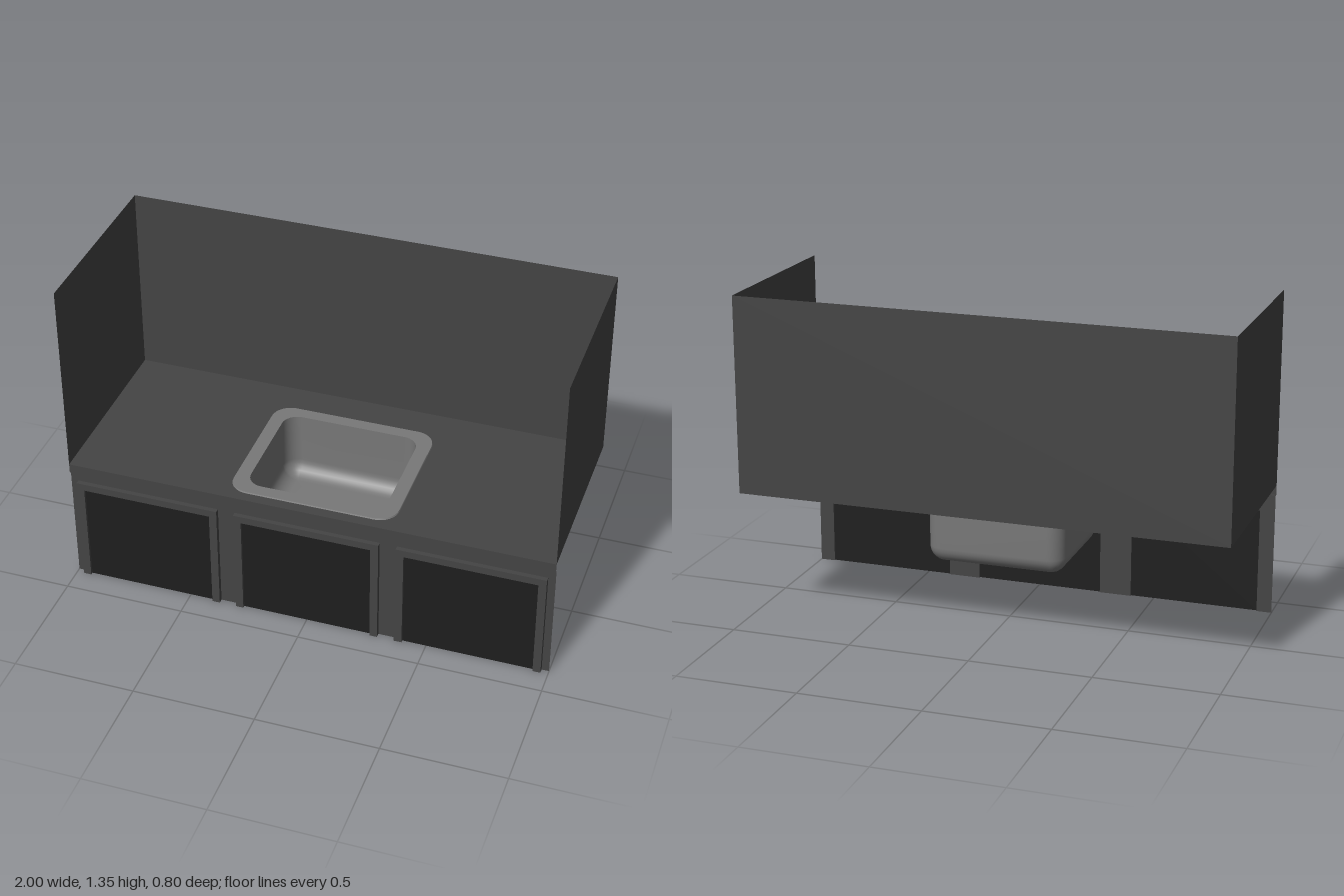
import * as THREE from 'three';

const HALF = 1, BACK = -0.4, LIP = 0.39, FACE = 0.38;
const TOP = 0.545, WALL_TOP = 1.35, LIP_BOTTOM = 0.505;
const SINK_Z = 0.0425;

const material = (color) => new THREE.MeshStandardMaterial({ color, side: THREE.DoubleSide });
const laminate = material(0x444444);
const dark = material(0x1e1e1e);
const steel = material(0x787878);

function add(parent, name, geometry, mat, x = 0, y = 0, z = 0) {
  const mesh = new THREE.Mesh(geometry, mat);
  mesh.name = name;
  mesh.position.set(x, y, z);
  parent.add(mesh);
  return mesh;
}

// Corner points of a rounded rectangle, counter-clockwise
function roundedRect(halfW, halfD, r, steps = 8) {
  const points = [];
  for (let c = 0; c < 4; c++) {
    const sx = c === 0 || c === 3 ? 1 : -1, sy = c < 2 ? 1 : -1;
    for (let i = 0; i <= steps; i++) {
      const a = (c + i / steps) * Math.PI / 2;
      points.push(new THREE.Vector2(
        sx * (halfW - r) + r * Math.cos(a), sy * (halfD - r) + r * Math.sin(a)));
    }
  }
  return points;
}

// Skin through rounded-rectangle sections [halfW, halfD, radius, y]
function loft(sections, closeEnd) {
  const pos = [], index = [];
  let n = 0;
  for (const [w, d, r, y] of sections) {
    const ring = roundedRect(w, d, r);
    n = ring.length;
    for (const p of ring) pos.push(p.x, y, -p.y);
  }
  for (let s = 0; s < sections.length - 1; s++) {
    for (let i = 0; i < n; i++) {
      const a = s * n + i, b = s * n + (i + 1) % n;
      index.push(a, b, a + n, b, b + n, a + n);
    }
  }
  if (closeEnd) {
    const base = (sections.length - 1) * n, centre = pos.length / 3;
    pos.push(0, sections[sections.length - 1][3], 0);
    for (let i = 0; i < n; i++) index.push(base + i, base + (i + 1) % n, centre);
  }
  const g = new THREE.BufferGeometry();
  g.setAttribute('position', new THREE.Float32BufferAttribute(pos, 3));
  g.setIndex(index);
  g.computeVertexNormals();
  return g;
}

// U-shaped outline: two posts and a top rail, open at the bottom
function archShape(halfW, height, post, rail) {
  const i = halfW - post, h = height - rail;
  return new THREE.Shape([[-halfW, 0], [-i, 0], [-i, h], [i, h], [i, 0], [halfW, 0],
    [halfW, height], [-halfW, height]].map(([x, y]) => new THREE.Vector2(x, y)));
}

function createDoor(x) {
  const door = new THREE.Group();
  door.name = 'door';
  door.position.x = x;
  const frame = new THREE.ExtrudeGeometry(archShape(0.3, 0.465, 0.032, 0.03),
    { depth: 0.02, bevelEnabled: false });
  add(door, 'doorFrame', frame, laminate, 0, 0, FACE);
  add(door, 'doorPanel', new THREE.PlaneGeometry(0.536, 0.435), dark, 0, 0.2175, 0.388);
  return door;
}

export function createModel() {
  const model = new THREE.Group();
  model.name = 'sinkUnit';

  // Splash walls: thin sheets on three sides
  const wallH = WALL_TOP - TOP, depth = LIP - BACK, midZ = (LIP + BACK) / 2;
  add(model, 'backWall', new THREE.PlaneGeometry(2 * HALF, wallH), laminate,
    0, TOP + wallH / 2, BACK);
  for (const side of [-1, 1]) {
    const wall = add(model, side < 0 ? 'rightWall' : 'leftWall',
      new THREE.PlaneGeometry(depth, wallH), laminate, side * HALF, TOP + wallH / 2, midZ);
    wall.rotation.y = -side * Math.PI / 2;
  }

  // Worktop sheet with the sink opening
  const topShape = new THREE.Shape([[-HALF, -LIP], [HALF, -LIP], [HALF, -BACK], [-HALF, -BACK]]
    .map(([x, y]) => new THREE.Vector2(x, y)));
  topShape.holes.push(new THREE.Path(roundedRect(0.343, 0.302, 0.08)
    .map((p) => new THREE.Vector2(p.x, p.y - SINK_Z))));
  add(model, 'worktop', new THREE.ShapeGeometry(topShape).rotateX(-Math.PI / 2), laminate, 0, TOP, 0);

  // Front lip of the worktop and its underside
  add(model, 'worktopLip', new THREE.PlaneGeometry(2 * HALF, TOP - LIP_BOTTOM), laminate,
    0, (TOP + LIP_BOTTOM) / 2, LIP);
  add(model, 'lipUnderside', new THREE.PlaneGeometry(2 * HALF, LIP - FACE).rotateX(Math.PI / 2),
    laminate, 0, LIP_BOTTOM, (LIP + FACE) / 2);

  // Cabinet front: top rail and the stiles between the door openings
  const railBottom = 0.435;
  add(model, 'frontRail', new THREE.PlaneGeometry(2 * HALF, LIP_BOTTOM - railBottom), laminate,
    0, (LIP_BOTTOM + railBottom) / 2, FACE);
  for (const [a, b] of [[-1, -0.938], [-0.402, -0.268], [0.268, 0.402], [0.938, 1]]) {
    add(model, 'frontStile', new THREE.PlaneGeometry(b - a, railBottom), laminate,
      (a + b) / 2, railBottom / 2, FACE);
  }

  for (const x of [-0.67, 0, 0.67]) model.add(createDoor(x));

  // Sink: raised flat rim and a deep bowl with a rounded floor edge
  const sink = new THREE.Group();
  sink.name = 'sink';
  sink.position.z = SINK_Z;
  model.add(sink);
  const w = 0.285, d = 0.248, r = 0.065, bottom = 0.27, fillet = 0.065;
  const rimTop = 0.55;
  add(sink, 'rimEdge', loft([[0.345, 0.304, 0.08, TOP - 0.002], [0.342, 0.301, 0.08, rimTop]]), steel);
  add(sink, 'rim', loft([[0.342, 0.301, 0.08, rimTop], [w, d, r, rimTop]]), steel);
  const bowl = [[w, d, r, rimTop], [w, d, r, 0.45]];
  for (let i = 0; i <= 6; i++) {
    const a = i / 6 * Math.PI / 2, inset = fillet * (1 - Math.cos(a));
    bowl.push([w - inset, d - inset, Math.max(r - inset, 0.004),
      bottom + fillet * (1 - Math.sin(a))]);
  }
  bowl.push([0.1, 0.08, 0.004, bottom]);
  add(sink, 'bowl', loft(bowl, true), steel);

  return model;
}
